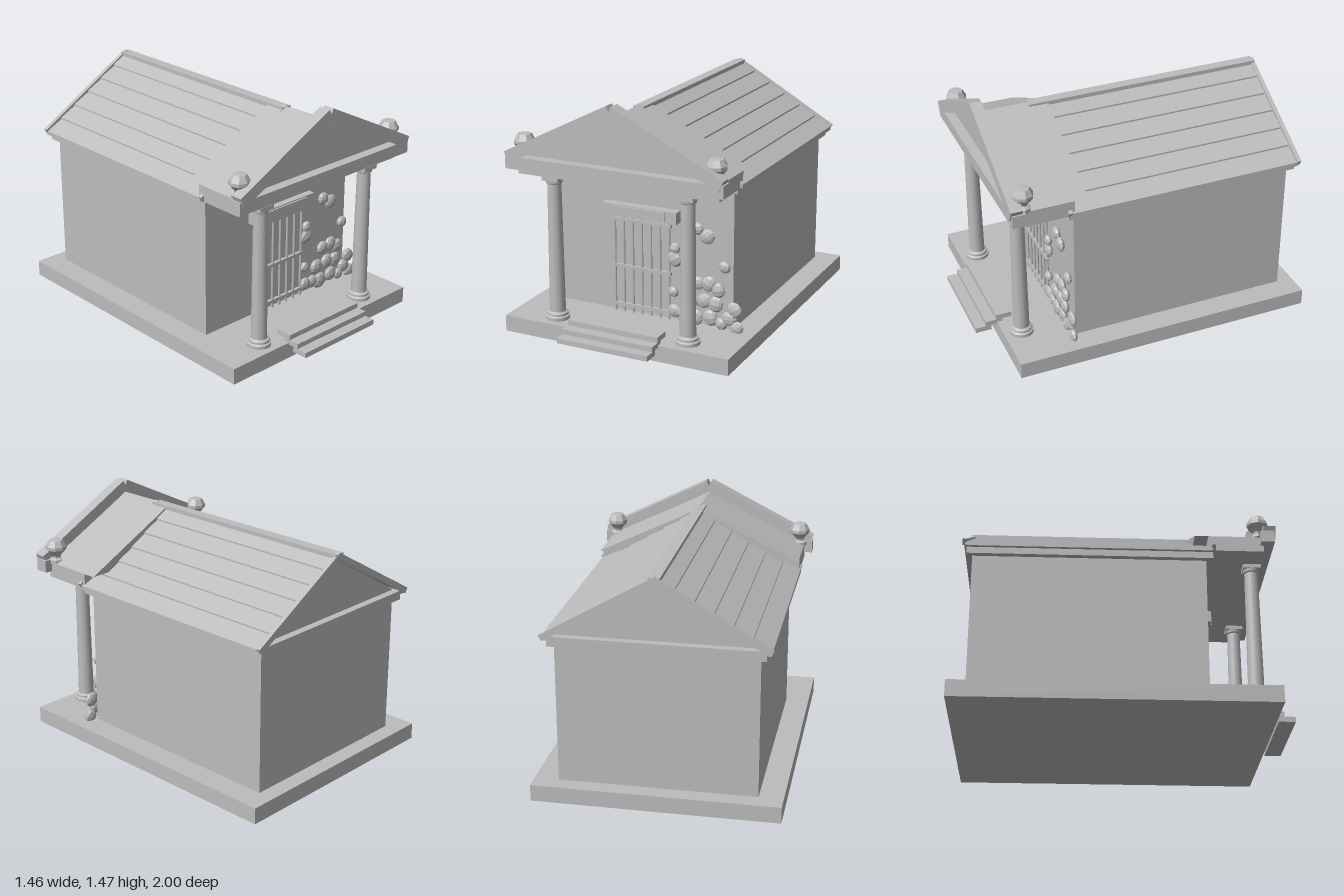
import * as THREE from 'three';

export function createModel() {
  const root = new THREE.Group();
  root.name = 'mausoleum';
  const stone = new THREE.MeshStandardMaterial({ color: 0xbcbcbc });
  stone.name = 'stone grey';
  const facet = new THREE.MeshStandardMaterial({ color: 0xbcbcbc, flatShading: true });
  facet.name = 'stone grey faceted';

  const add = (name, geo, mat = stone) => {
    const m = new THREE.Mesh(geo, mat);
    m.name = name;
    root.add(m);
    return m;
  };
  // Box given by its limits on each axis
  const box = (name, x0, x1, y0, y1, z0, z1) => {
    const m = add(name, new THREE.BoxGeometry(x1 - x0, y1 - y0, z1 - z0));
    m.position.set((x0 + x1) / 2, (y0 + y1) / 2, (z0 + z1) / 2);
    return m;
  };
  // Front outline extruded between two depths
  const prism = (name, pts, z0, z1) => {
    const shape = new THREE.Shape(pts.map(([x, y]) => new THREE.Vector2(x, y)));
    const geo = new THREE.ExtrudeGeometry(shape, { depth: z1 - z0, bevelEnabled: false });
    geo.translate(0, 0, z0);
    return add(name, geo);
  };
  // Lathe with hard edges: neighbouring profile points are split into separate bands
  const turned = (name, profile, sides, mat) => {
    const g = new THREE.Group();
    g.name = name;
    for (let i = 0; i < profile.length - 1; i++) {
      const pts = [profile[i], profile[i + 1]].map(([r, y]) => new THREE.Vector2(r, y));
      const m = new THREE.Mesh(new THREE.LatheGeometry(pts, sides), mat);
      m.name = name + 'Band';
      g.add(m);
    }
    root.add(g);
    return g;
  };

  // Platform and entrance steps
  box('platform', -0.73, 0.73, 0, 0.1, -1, 0.865);
  [[0.055, 0.087, 0.9, 1.0], [0.087, 0.118, 0.83, 0.935], [0.118, 0.15, 0.77, 0.87]]
    .forEach(([y0, y1, z0, z1]) => box('step', -0.293, 0.293, y0, y1, z0, z1));

  // Chamber with cornice
  box('chamberWalls', -0.585, 0.585, 0.1, 0.95, -0.9, 0.47);
  box('lowerCornice', -0.62, 0.62, 0.945, 0.985, -0.933, 0.508);
  box('upperCornice', -0.64, 0.64, 0.985, 1.008, -0.945, 0.515);
  prism('gable', [[-0.6, 1.0], [0.6, 1.0], [0, 1.36]], -0.9, 0.48);

  // Main roof: six lapped strips on each slope
  const slope = 0.59, strips = 6, half = 0.65, ridge = 1.385;
  const roofAt = x => ridge - slope * x;
  const side = [];
  for (let i = 0; i < strips; i++) {
    const a = half * i / strips, b = half * (i + 1) / strips;
    side.push([a, roofAt(a) - (i ? 0.006 : 0)], [b, roofAt(b) + 0.004]);
  }
  const mirrored = side.slice(1).reverse().map(([x, y]) => [-x, y]);
  prism('roof', [
    [half, roofAt(half) - 0.02], [0, ridge - 0.035], [-half, roofAt(half) - 0.02],
    ...mirrored, ...side,
  ].reverse(), -0.94, 0.505);
  box('ridgeBoard', -0.033, 0.033, 1.365, 1.391, -0.95, 0.52);

  // Raking trims at both ends of the main roof
  for (const [z0, z1] of [[-0.955, -0.93], [0.497, 0.522]]) {
    for (const s of [-1, 1]) {
      prism('roofTrim', [[0, 1.36], [s * 0.64, 0.983], [s * 0.66, 1.015], [0, 1.398]], z0, z1);
    }
  }

  // Portico beam, solid pediment and front band
  box('porticoBeam', -0.64, 0.64, 0.985, 1.08, 0.48, 0.805);
  prism('pediment', [[-0.64, 1.08], [0.64, 1.08], [0, 1.393]], 0.4, 0.805);
  box('frontBand', -0.69, 0.69, 1.025, 1.1, 0.785, 0.865);
  for (const s of [-1, 1]) {
    prism('rakingCornice', [
      [0, 1.395], [s * 0.662, 1.062], [s * 0.692, 1.128], [s * 0.016, 1.468], [0, 1.437],
    ], 0.8, 0.872);
  }

  for (const s of [-1, 1]) {
    // Column with moulded base and square capital
    turned('column', [
      [0, 0.1], [0.072, 0.1], [0.072, 0.12], [0.062, 0.127], [0.062, 0.14], [0.05, 0.147],
      [0.048, 0.15], [0.041, 0.94], [0.048, 0.945], [0.051, 0.965],
    ], 20, stone).position.set(s * 0.43, 0, 0.755);
    box('capital', s * 0.43 - 0.053, s * 0.43 + 0.053, 0.962, 0.987, 0.702, 0.808);

    // Urn on each corner
    turned('urn', [
      [0, 1.08], [0.045, 1.08], [0.045, 1.1], [0.025, 1.112], [0.028, 1.125], [0.063, 1.165],
      [0.063, 1.185], [0.042, 1.222], [0, 1.226],
    ], 8, facet).position.set(s * 0.61, 0, 0.775);
  }

  // Door lintel with raised panel
  box('lintel', -0.245, 0.245, 0.712, 0.785, 0.46, 0.53);
  box('lintelPanel', -0.175, 0.175, 0.722, 0.778, 0.53, 0.54);

  // Iron gate
  for (let i = 0; i < 7; i++) {
    const bar = add('gateBar', new THREE.CylinderGeometry(0.008, 0.008, 0.61, 8));
    bar.position.set(-0.18 + i * 0.06, 0.405, 0.49);
  }
  for (const y of [0.145, 0.39, 0.685]) box('gateRail', -0.195, 0.195, y - 0.01, y + 0.01, 0.48, 0.5);

  // Climbing foliage: x, y, radius
  [
    [0.365, 0.7, 0.043], [0.43, 0.66, 0.05], [0.22, 0.555, 0.036], [0.22, 0.49, 0.05],
    [0.54, 0.49, 0.039], [0.37, 0.365, 0.047], [0.44, 0.37, 0.05], [0.5, 0.34, 0.046],
    [0.21, 0.283, 0.035], [0.32, 0.25, 0.053], [0.41, 0.26, 0.05], [0.485, 0.25, 0.05],
    [0.605, 0.235, 0.05], [0.22, 0.165, 0.045], [0.28, 0.16, 0.045], [0.35, 0.145, 0.055],
    [0.45, 0.16, 0.05], [0.52, 0.135, 0.04], [0.57, 0.175, 0.05], [0.62, 0.125, 0.045],
  ].forEach(([x, y, r], i) => {
    const leaf = add('foliage', new THREE.SphereGeometry(1, 8, 6), facet);
    leaf.scale.set(r, r * 0.9, 0.023);
    leaf.rotation.z = i * 0.7;
    leaf.position.set(x, y, 0.495);
  });

  // Correct the winding of the mirrored pieces is handled by the shape builder
  return root;
}
